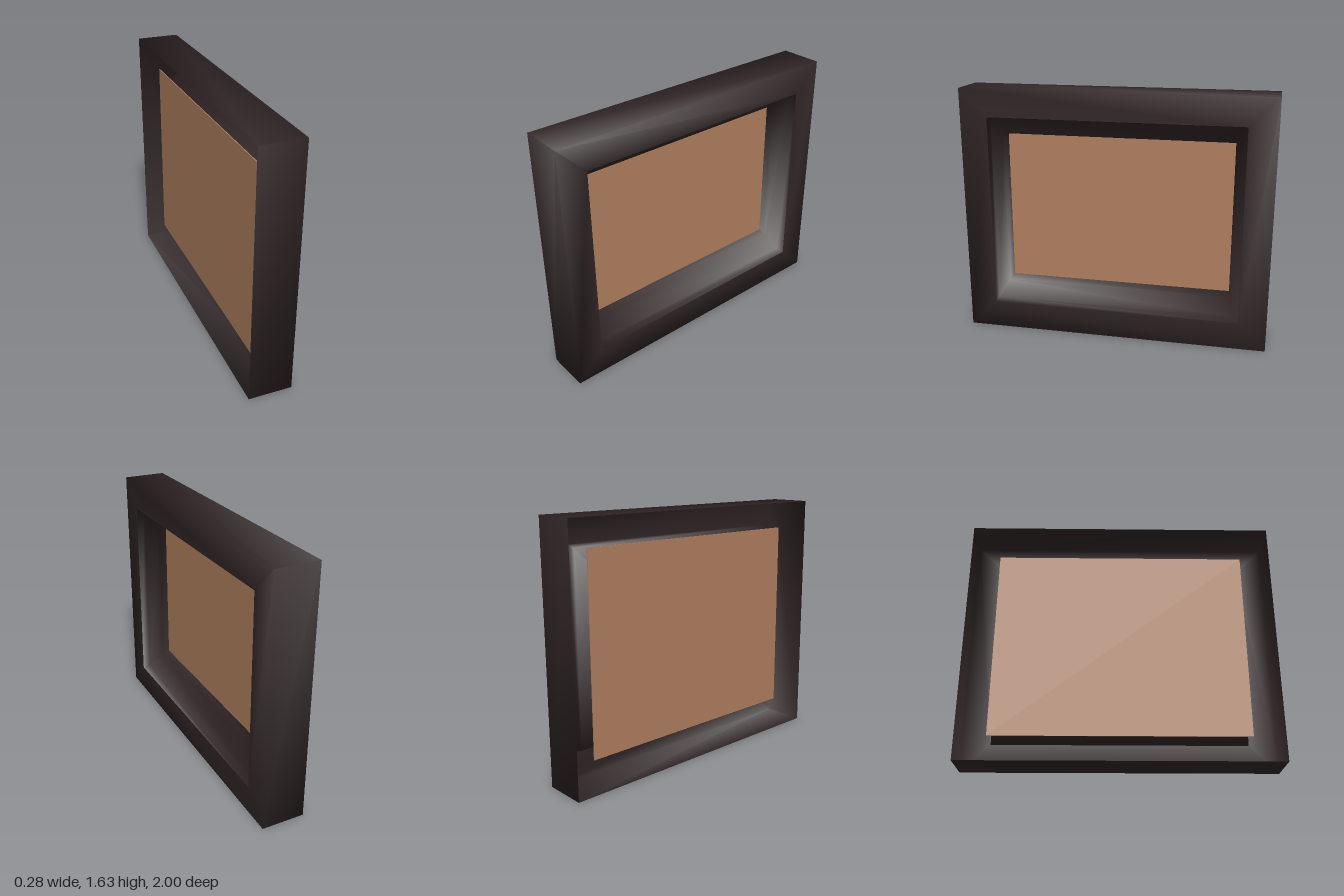
import * as THREE from 'three';

const darkWood = new THREE.MeshStandardMaterial({ color: 0x302526, side: THREE.DoubleSide });
const tanCanvas = new THREE.MeshStandardMaterial({ color: 0xb07f5f, side: THREE.DoubleSide });

// Joins rectangular rings [x, halfZ, bottomY, topY] into a smooth shell
function ringShell(rings) {
  const positions = [];
  const index = [];
  for (const [x, z, y0, y1] of rings) {
    positions.push(x, y0, -z, x, y1, -z, x, y1, z, x, y0, z);
  }
  for (let r = 0; r < rings.length - 1; r++) {
    for (let c = 0; c < 4; c++) {
      const a = r * 4 + c;
      const b = r * 4 + ((c + 1) % 4);
      index.push(a, b, a + 4, b, b + 4, a + 4);
    }
  }
  const geometry = new THREE.BufferGeometry();
  geometry.setAttribute('position', new THREE.Float32BufferAttribute(positions, 3));
  geometry.setIndex(index);
  geometry.computeVertexNormals();
  return geometry;
}

export function createModel() {
  const group = new THREE.Group();
  group.name = 'pictureFrame';

  // Frame moulding, open at the back
  const outer = new THREE.Mesh(ringShell([
    [-0.14, 1, 0, 1.63],
    [0.14, 1, 0, 1.63],
    [0.14, 0.82, 0.18, 1.45],
  ]), darkWood);
  outer.name = 'frameMoulding';
  group.add(outer);

  // Stepped slope running in from the moulding to the picture
  const slope = [[0.14, 0], [0.09, 0.1], [0.0, 0.8], [-0.045, 1]];
  const inner = new THREE.Mesh(ringShell(slope.map(([x, t]) => [
    x, 0.82 - 0.075 * t, 0.18 + 0.14 * t, 1.45 - 0.135 * t,
  ])), darkWood);
  inner.name = 'innerSlope';
  group.add(inner);

  // Picture panel behind the slope
  const panel = new THREE.Mesh(new THREE.BoxGeometry(0.006, 1.27, 1.64), tanCanvas);
  panel.position.set(-0.05, 0.815, 0);
  panel.name = 'picturePanel';
  group.add(panel);

  return group;
}
